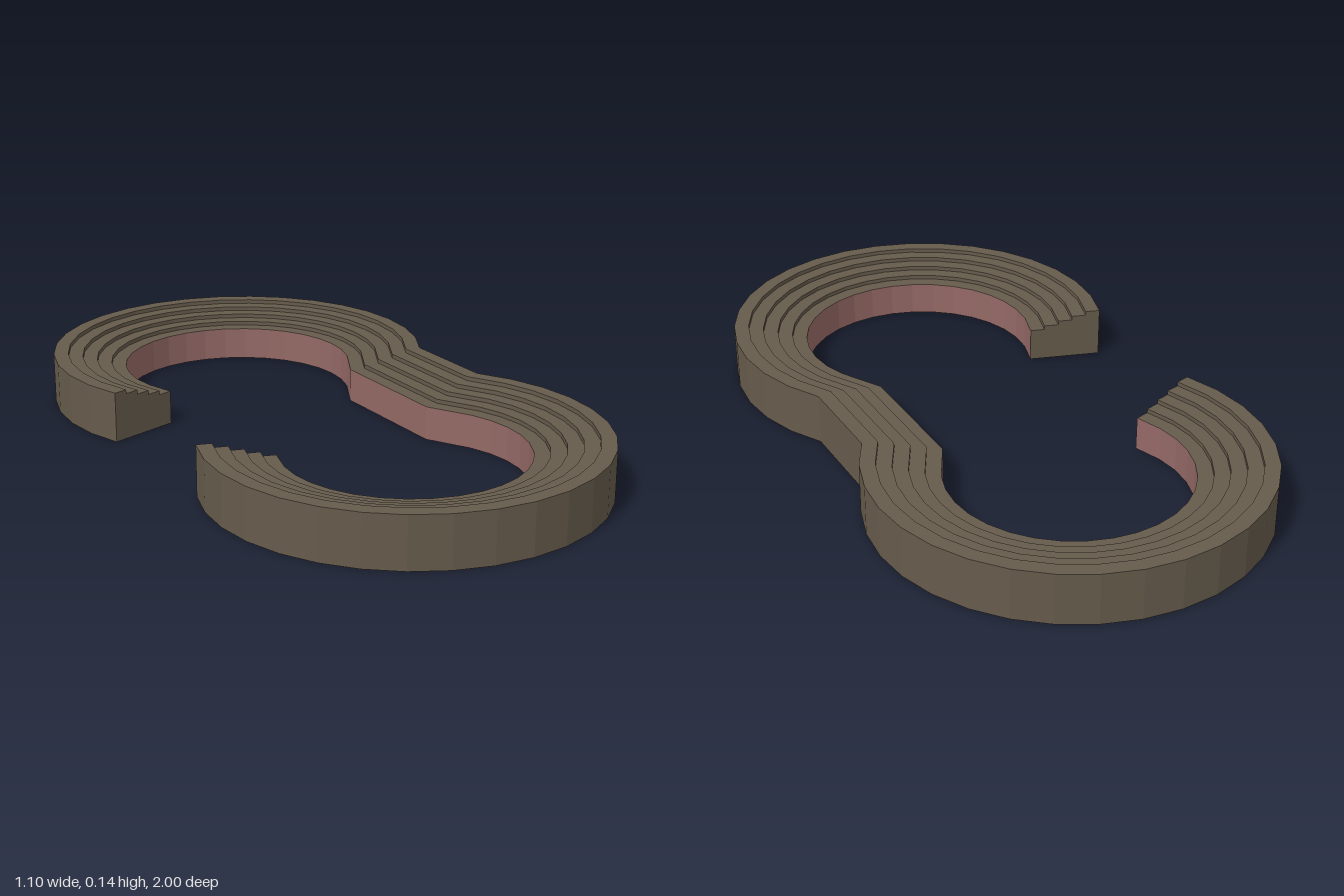
import * as THREE from 'three';

const RADIUS = 0.55, CENTRE_Z = 0.45, TIERS = 5, TREAD = 0.0425;
const TOP = 0.145, RISER = 0.012, STEP = Math.PI / 16;

const stone = new THREE.MeshStandardMaterial({ name: 'stone brown', color: 0x665b4c, side: THREE.DoubleSide, flatShading: true });
const rose = new THREE.MeshStandardMaterial({ name: 'dusty rose', color: 0x946966, side: THREE.DoubleSide, flatShading: true });

// Outer edge of the plan: an open ring, a straight link, and the mirrored ring
function planPath() {
  const ring = [];
  for (let i = 0; i <= 21; i++) {
    const a = (14 + i) * STEP;
    ring.push(new THREE.Vector2(RADIUS * Math.cos(a), RADIUS * Math.sin(a) - CENTRE_Z));
  }
  return [...ring, ...ring.map(p => new THREE.Vector2(p.x, -p.y)).reverse()];
}

// Mitred inward direction at each point, so that offsets stay parallel
function inwardMiters(path) {
  const normals = path.slice(1).map((p, i) => {
    const t = p.clone().sub(path[i]).normalize();
    return new THREE.Vector2(-t.y, t.x);
  });
  return path.map((_, i) => {
    const a = normals[Math.max(i - 1, 0)], b = normals[Math.min(i, normals.length - 1)];
    const m = a.clone().add(b).normalize();
    return m.divideScalar(m.dot(b));
  });
}

// Sweep a profile of [inward offset, height] points along the path
function sweep(path, miters, profile) {
  const at = (i, [offset, h]) => [path[i].x + miters[i].x * offset, h, path[i].y + miters[i].y * offset];
  const pos = [];
  for (let i = 0; i < path.length - 1; i++) {
    for (let j = 0; j < profile.length - 1; j++) {
      const a = at(i, profile[j]), b = at(i + 1, profile[j]);
      const c = at(i + 1, profile[j + 1]), d = at(i, profile[j + 1]);
      pos.push(...a, ...d, ...c, ...a, ...c, ...b);
    }
  }
  const g = new THREE.BufferGeometry();
  g.setAttribute('position', new THREE.Float32BufferAttribute(pos, 3));
  g.computeVertexNormals();
  return g;
}

export function createModel() {
  const group = new THREE.Group();
  const path = planPath(), miters = inwardMiters(path);
  const add = (name, geometry, material) => {
    const mesh = new THREE.Mesh(geometry, material);
    mesh.name = name;
    group.add(mesh);
    return mesh;
  };

  // Stepped profile falling towards the inside
  const steps = [];
  for (let i = 0; i < TIERS; i++) {
    const h = TOP - i * RISER;
    steps.push([i * TREAD, h], [(i + 1) * TREAD, h]);
  }
  const inner = steps[steps.length - 1];

  add('outerWall', sweep(path, miters, [[0, 0], [0, TOP]]), stone);
  add('seatingTiers', sweep(path, miters, steps), stone);
  add('innerWall', sweep(path, miters, [inner, [inner[0], 0]]), rose);

  // Stepped plates closing both open ends
  const outline = [[0, 0], ...steps, [inner[0], 0]].map(p => new THREE.Vector2(...p));
  [0, path.length - 1].forEach((i, n) => {
    const along = new THREE.Vector3(miters[i].x, 0, miters[i].y);
    const up = new THREE.Vector3(0, 1, 0);
    const g = new THREE.ShapeGeometry(new THREE.Shape(outline));
    g.applyMatrix4(new THREE.Matrix4()
      .makeBasis(along, up, along.clone().cross(up))
      .setPosition(path[i].x, 0, path[i].y));
    if (n === 0) {
      // Turn the first plate so that it faces out of the opening
      const idx = g.index.array;
      const facing = along.clone().cross(up);
      const travel = new THREE.Vector3(path[1].x - path[0].x, 0, path[1].y - path[0].y);
      if (facing.dot(travel) > 0) idx.reverse();
      g.computeVertexNormals();
    }
    add(n === 0 ? 'backEndPlate' : 'frontEndPlate', g, stone);
  });
  return group;
}
